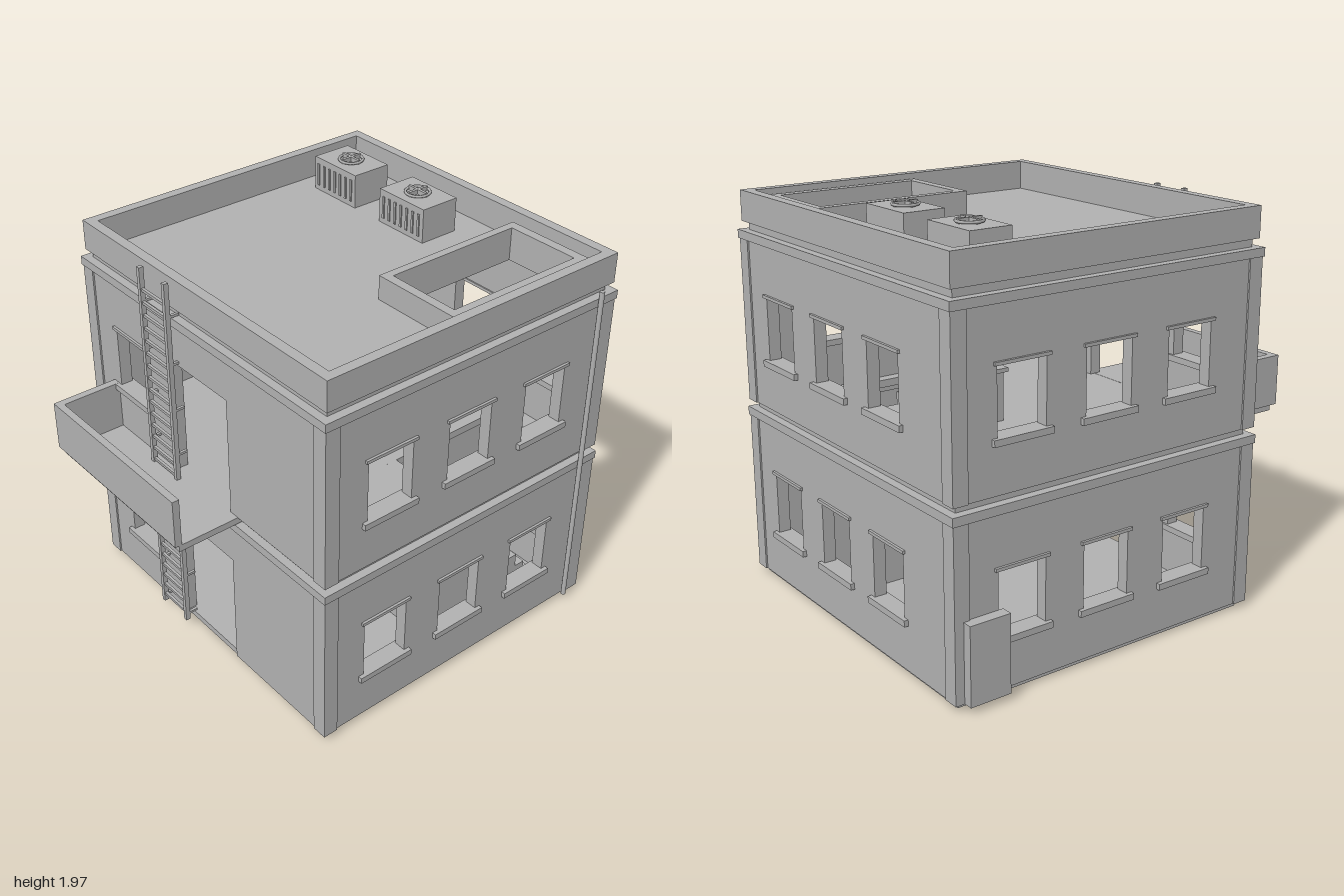
import * as THREE from 'three';

export function createModel() {
  const model = new THREE.Group();
  const plaster = new THREE.MeshStandardMaterial({ color: 0xb2b2b2 });
  plaster.name = 'plaster grey';

  const add = (parent, name, geo) => {
    const m = new THREE.Mesh(geo, plaster);
    m.name = name;
    parent.add(m);
    return m;
  };
  const group = (name, parent = model) => {
    const g = new THREE.Group();
    g.name = name;
    parent.add(g);
    return g;
  };
  // box given by its extents on each axis
  const box = (parent, name, x0, x1, y0, y1, z0, z1) => {
    const m = add(parent, name, new THREE.BoxGeometry(x1 - x0, y1 - y0, z1 - z0));
    m.position.set((x0 + x1) / 2, (y0 + y1) / 2, (z0 + z1) / 2);
    return m;
  };
  const rectPath = (P, x0, x1, y0, y1) => {
    const p = new P();
    p.moveTo(x0, y0).lineTo(x1, y0).lineTo(x1, y1).lineTo(x0, y1).closePath();
    return p;
  };
  const plate = (outer, holes, depth) => {
    const s = rectPath(THREE.Shape, ...outer);
    s.holes = holes.map((h) => rectPath(THREE.Path, ...h));
    return new THREE.ExtrudeGeometry(s, { depth, bevelEnabled: false });
  };
  // horizontal slab or ring; outer and hole are [x0, x1, z0, z1]
  const slab = (parent, name, outer, y0, y1, hole) => {
    const flip = ([a, b, c, d]) => [a, b, -d, -c];
    const geo = plate(flip(outer), hole ? [flip(hole)] : [], y1 - y0);
    geo.rotateX(-Math.PI / 2);
    add(parent, name, geo).position.y = y0;
  };

  const CX = 0.005, CZ = -0.155, HX = 0.88, HZ = 0.829;
  const stairHole = [0.385, 0.76, -0.825, -0.108];
  const core = [-0.84, 0.85, -0.95, 0.64];

  // Slabs: ground, middle floor, roof
  slab(model, 'groundSlab', core, 0, 0.032);
  slab(model, 'middleFloor', core, 0.863, 0.902, stairHole);
  slab(model, 'roofSlab', core, 1.733, 1.776, stairHole);
  slab(model, 'parapet', [-0.862, 0.878, -0.973, 0.663], 1.774, 1.92, [-0.812, 0.828, -0.923, 0.613]);
  slab(model, 'roofEdge', [-0.83, 0.84, -0.94, 0.63], 1.77, 1.779, stairHole);
  slab(model, 'stairwellWall', [0.345, 0.805, -0.873, -0.063], 1.774, 1.895, stairHole);

  // Each side: rotation, distance to face, half length, window centres, door centre
  const sides = [
    { name: 'front', rot: 0, d: HZ, w: HX, windows: [-0.523], door: 0.003 },
    { name: 'back', rot: Math.PI, d: HZ, w: HX, windows: [0.365, -0.083, -0.53] },
    { name: 'left', rot: Math.PI / 2, d: HX, w: HZ, windows: [-0.475, -0.025, 0.428] },
    { name: 'right', rot: -Math.PI / 2, d: HX, w: HZ, windows: [0.415, -0.035, -0.485] },
  ];
  const POST = 0.075, T = 0.06, INSET = 0.008;

  // One storey of posts, pierced wall panels, sills, lintels and a top band
  const storey = (name, y) => {
    const g = group(name);
    g.position.set(CX, y, CZ);
    const top = 0.793;
    for (const s of sides) {
      const side = group(s.name + 'Wall', g);
      side.rotation.y = s.rot;
      const holes = s.windows.map((u) => [u - 0.122, u + 0.122, 0.245, 0.545]);
      const half = s.w - POST;
      const outer = [-half, half, 0, top];
      const geo = s.door === undefined
        ? plate(outer, holes, T)
        : doorPlate(outer, holes, s.door, 0.208, 0.594);
      add(side, 'wallPanel', geo).position.z = s.d - INSET - T;
      for (const u of s.windows) {
        box(side, 'windowSill', u - 0.15, u + 0.15, 0.215, 0.245, s.d - 0.08, s.d + 0.012);
        box(side, 'windowLintel', u - 0.14, u + 0.14, 0.545, 0.56, s.d - 0.075, s.d + 0.004);
      }
    }
    for (const sx of [-1, 1]) for (const sz of [-1, 1]) {
      const p = add(g, 'cornerPost', new THREE.BoxGeometry(POST, top, POST));
      p.position.set(sx * (HX - POST / 2), top / 2, sz * (HZ - POST / 2));
    }
    const ox = HX + 0.006, oz = HZ + 0.006;
    slab(g, 'topBand', [-ox, ox, -oz, oz], top, 0.834, [-0.805, 0.805, -0.755, 0.755]);
  };
  // Panel with a doorway open at the floor
  function doorPlate([x0, x1, y0, y1], holes, c, hw, h) {
    const s = new THREE.Shape();
    [[x0, y0], [c - hw, y0], [c - hw, h], [c + hw, h], [c + hw, y0], [x1, y0], [x1, y1], [x0, y1]]
      .forEach(([x, y], i) => (i ? s.lineTo(x, y) : s.moveTo(x, y)));
    s.holes = holes.map((r) => rectPath(THREE.Path, ...r));
    return new THREE.ExtrudeGeometry(s, { depth: T, bevelEnabled: false });
  }
  storey('lowerStorey', 0.031);
  storey('upperStorey', 0.901);

  // Balcony, open at its left end
  const balcony = group('balcony');
  box(balcony, 'balconySlab', -0.68, 0.27, 0.87, 0.903, 0.63, 0.98);
  box(balcony, 'balconyFront', -0.70, 0.27, 0.903, 1.147, 0.965, 1.0);
  box(balcony, 'balconySide', -0.70, -0.662, 0.903, 1.147, 0.662, 0.965);

  // Wall ladder
  const ladder = group('ladder');
  for (const x of [-0.324, -0.136]) {
    box(ladder, 'ladderRail', x - 0.01, x + 0.01, 0.045, 1.92, 0.696, 0.72);
    for (let i = 0; i < 8; i++) {
      const y = 0.08 + i * 0.239;
      box(ladder, 'ladderBracket', x - 0.007, x + 0.007, y - 0.006, y + 0.006, 0.65, 0.7);
    }
  }
  for (let i = 0; i < 28; i++) {
    const y = 0.09 + i * 0.0638;
    box(ladder, 'ladderRung', -0.324, -0.136, y - 0.007, y + 0.007, 0.701, 0.715);
  }

  // Drainpipe and utility cabinet
  const pipe = add(model, 'drainpipe', new THREE.CylinderGeometry(0.012, 0.012, 1.73, 12));
  pipe.position.set(0.903, 0.91, -0.868);
  box(model, 'utilityCabinet', -0.92, -0.865, 0.032, 0.4, -0.94, -0.737);

  // Rooftop cooling units
  for (const x of [-0.55, -0.072]) {
    const unit = group('coolingUnit');
    unit.position.set(x, 1.776, -0.665);
    box(unit, 'unitCase', -0.15, 0.15, 0, 0.171, -0.105, 0.101);
    for (let i = 0; i < 7; i++) {
      const u = -0.12 + i * 0.04;
      box(unit, 'ventSlat', u - 0.006, u + 0.006, 0.03, 0.14, 0.1, 0.107);
    }
    const ring = add(unit, 'fanRing', new THREE.TorusGeometry(0.058, 0.007, 6, 24));
    ring.rotation.x = Math.PI / 2;
    ring.position.y = 0.18;
    box(unit, 'fanBlade', -0.058, 0.058, 0.171, 0.193, -0.007, 0.007);
    box(unit, 'fanBlade', -0.007, 0.007, 0.171, 0.193, -0.058, 0.058);
  }

  // Inner staircase with handrail
  const stairs = group('staircase');
  const N = 12, run = 0.0597, rise = 0.0725;
  for (let i = 0; i < N; i++) {
    const z = -0.825 + i * run;
    box(stairs, 'step', 0.385, 0.76, 0.03, 0.031 + rise * (i + 1), z, z + run);
  }
  const slope = Math.atan2(rise, run);
  const rail = add(stairs, 'handrail', new THREE.BoxGeometry(0.015, 0.015, 0.8));
  rail.position.set(0.39, 0.60, -0.53);
  rail.rotation.x = -slope;
  for (const i of [0, 3, 6]) {
    const z = -0.795 + i * run, y = 0.031 + rise * (i + 1);
    box(stairs, 'railPost', 0.383, 0.397, y, y + 0.16, z - 0.006, z + 0.006);
  }

  // Inner partitions and desks
  box(model, 'partition', 0.3, 0.33, 0.03, 0.865, 0.12, 0.58);
  box(model, 'partition', 0.3, 0.33, 0.03, 0.865, -0.9, -0.42);
  const desk = (x0, x1, y, z0, z1, screenX) => {
    const g = group('desk');
    box(g, 'deskTop', x0, x1, y + 0.235, y + 0.255, z0, z1);
    box(g, 'deskBase', x0 + 0.012, x1, y, y + 0.235, z0 + 0.02, z1 - 0.02);
    box(g, 'screen', screenX, screenX + 0.016, y + 0.255, y + 0.345, z0 + 0.05, z1 - 0.04);
  };
  desk(0.133, 0.3, 0.031, 0.16, 0.45, 0.172);
  desk(-0.13, -0.03, 0.902, -0.5, -0.17, -0.066);

  return model;
}
